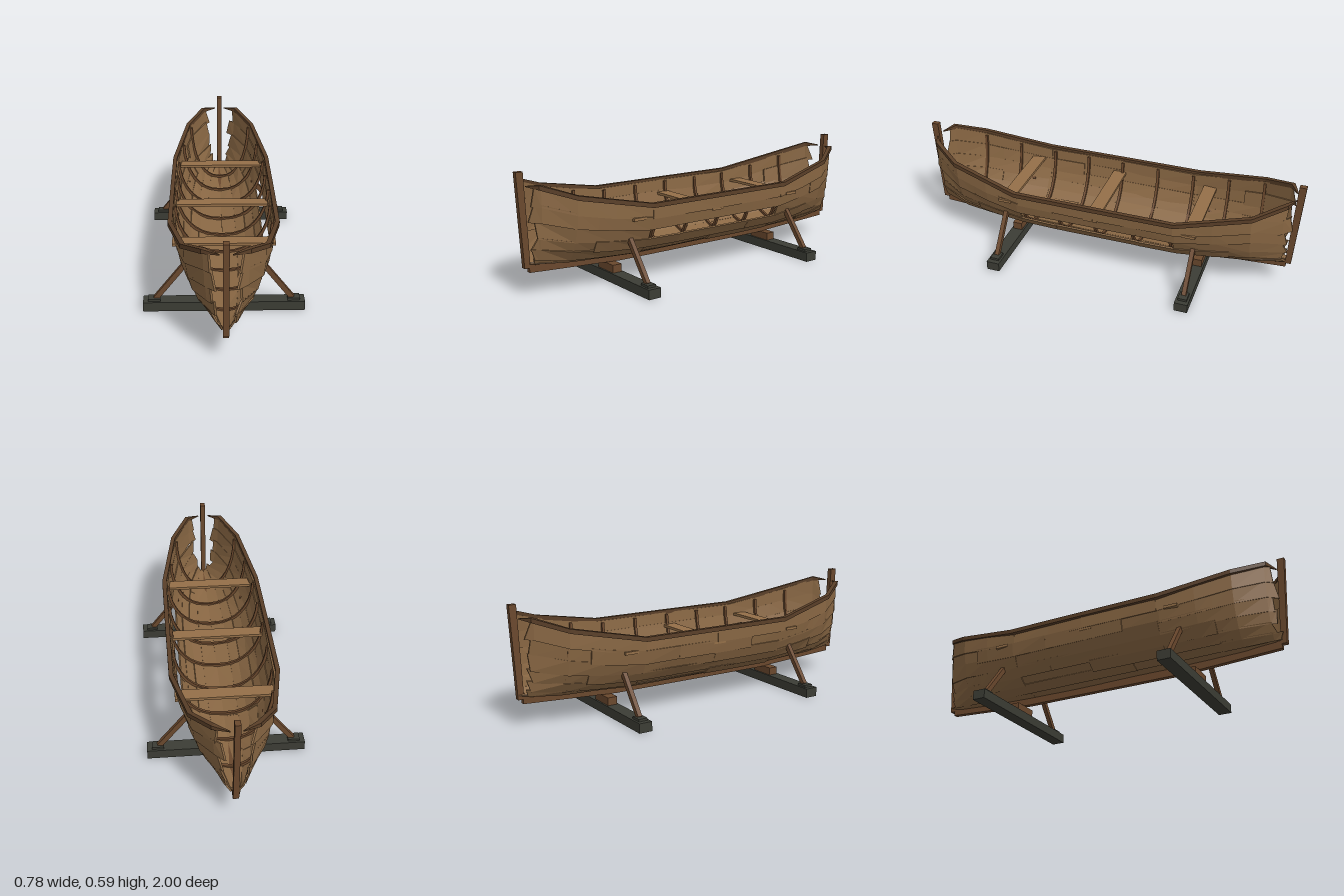
import * as THREE from 'three';

// Hull lines by distance from midship: half width, sheer height, bottom height
const LINES = [
  [0, 0.253, 0.405, 0.125], [0.42, 0.248, 0.405, 0.125], [0.6, 0.222, 0.435, 0.13],
  [0.78, 0.183, 0.475, 0.136], [0.92, 0.1, 0.527, 0.146], [0.97, 0.05, 0.53, 0.15],
];

function lines(z) {
  const a = Math.min(Math.abs(z), 0.969);
  const i = LINES.findIndex((r) => r[0] > a);
  const p = LINES[i - 1], q = LINES[i];
  const k = (a - p[0]) / (q[0] - p[0]);
  return [1, 2, 3].map((j) => p[j] + (q[j] - p[j]) * k);
}

// Point on the hull: t = 0 at the keel, 1 at the rail (negative t is the -x side)
function hullPoint(t, z, inset = 0) {
  const [w, s, b] = lines(z);
  const at = (u) => new THREE.Vector2(
    w * Math.pow(Math.sin(u * Math.PI / 2), 0.85), b + (s - b) * (1 - Math.cos(u * Math.PI / 2)));
  const u = Math.min(Math.abs(t), 1);
  const p = at(u);
  const d = at(Math.min(u + 0.02, 1)).sub(at(Math.max(u - 0.02, 0))).normalize();
  if (u === 0) d.set(1, 0);
  const x = Math.max(p.x - d.y * inset, 0);
  return new THREE.Vector3(t < 0 ? -x : x, p.y + d.x * inset, z);
}

// Flat-shaded solid lofted through rings of four corners
function loft(rings) {
  const tris = [];
  const quad = (a, b, c, d) => tris.push([a, b, c], [a, c, d]);
  for (let i = 0; i + 1 < rings.length; i++) {
    for (let j = 0; j < 4; j++) {
      const k = (j + 1) % 4;
      quad(rings[i][j], rings[i][k], rings[i + 1][k], rings[i + 1][j]);
    }
  }
  const e = rings[rings.length - 1];
  quad(...[...rings[0]].reverse());
  quad(...e);
  // Turn the faces outward whichever way the rings run
  const o = rings[0][0];
  let vol = 0;
  for (const [a, b, c] of tris) {
    vol += a.clone().sub(o).dot(b.clone().sub(o).cross(c.clone().sub(o)));
  }
  const pos = [];
  for (const [a, b, c] of tris) {
    for (const v of vol < 0 ? [a, c, b] : [a, b, c]) pos.push(v.x, v.y, v.z);
  }
  const g = new THREE.BufferGeometry();
  g.setAttribute('position', new THREE.Float32BufferAttribute(pos, 3));
  g.computeVertexNormals();
  return g;
}

export function createModel() {
  const boat = new THREE.Group();
  boat.name = 'rowingBoat';
  const plank = new THREE.MeshStandardMaterial({ color: 0x8a6844 });
  plank.name = 'plankWood';
  const timber = new THREE.MeshStandardMaterial({ color: 0x6a482d });
  timber.name = 'darkTimber';
  const rail = new THREE.MeshStandardMaterial({ color: 0x5a3f28 });
  rail.name = 'railWood';
  const bench = new THREE.MeshStandardMaterial({ color: 0x946f48 });
  bench.name = 'benchWood';
  const base = new THREE.MeshStandardMaterial({ color: 0x3c3d35 });
  base.name = 'cradleTimber';

  let seed = 7;
  const rand = (r) => {
    seed = (seed * 16807) % 2147483647;
    return (seed / 2147483647 * 2 - 1) * r;
  };
  const add = (name, geo, mat, parent = boat) => {
    const m = new THREE.Mesh(geo, mat);
    m.name = name;
    parent.add(m);
    return m;
  };
  const box = (name, size, at, mat) => {
    const m = add(name, new THREE.BoxGeometry(...size), mat);
    m.position.set(...at);
    return m;
  };

  // Planking: seven strakes a side, each of several uneven boards
  const STRAKES = 7;
  const hull = new THREE.Group();
  hull.name = 'planking';
  boat.add(hull);
  for (const side of [-1, 1]) {
    for (let i = 0; i < STRAKES; i++) {
      const inner = i % 2 ? [-0.68, -0.22, 0.22, 0.68] : [-0.41, 0, 0.41];
      const cuts = [-0.945 + rand(0.016), ...inner, 0.945 + rand(0.016)];
      for (let c = 0; c + 1 < cuts.length; c++) {
        const z0 = cuts[c], z1 = cuts[c + 1];
        // One strake is lost amidships on the left side
        if (side > 0 && i === 4 && Math.abs(z0 + z1) < 0.9) continue;
        const lift = -0.003 + rand(0.003);
        const zs = [z0];
        for (const z of [-0.92, -0.78, -0.6, -0.42, -0.2, 0.2, 0.42, 0.6, 0.78, 0.92]) {
          if (z > z0 + 0.02 && z < z1 - 0.02) zs.push(z);
        }
        zs.push(z1);
        const lost = side > 0 && (i === 3 || i === 5);
        const lo = Math.max(0, i / STRAKES - (lost && i === 5 ? 0 : 0.012));
        const hi = Math.min(1, (i + 1) / STRAKES + (lost && i === 3 ? 0 : 0.012));
        hull.add(new THREE.Mesh(loft(zs.map((z, n) => {
          const free = Math.abs(z) > 0.925 && (n === 0 || n === zs.length - 1);
          const skew = free ? rand(0.014) : 0;
          const a = lift + rand(0.002), b = lift + 0.003 + rand(0.002);
          return [
            hullPoint(side * lo, z - skew, a), hullPoint(side * hi, z + skew, b),
            hullPoint(side * hi, z + skew, b + 0.009), hullPoint(side * lo, z - skew, a + 0.009),
          ];
        })), plank));
        hull.children[hull.children.length - 1].name = 'board';
      }
    }
  }

  // Bent ribs, inside the planking
  for (const z of [-0.78, -0.59, -0.395, -0.2, 0, 0.195, 0.39, 0.585, 0.775]) {
    const rings = [];
    for (let k = -8; k <= 8; k++) {
      const t = k / 8 * 0.98;
      const out = hullPoint(t, z, 0.006), inn = hullPoint(t, z, 0.02);
      rings.push([[out, -1], [out, 1], [inn, 1], [inn, -1]].map(
        ([p, s]) => new THREE.Vector3(p.x, p.y, z + s * 0.007)));
    }
    add('rib', loft(rings), timber);
  }

  // Gunwales, tapering to points beside the posts
  const half = [[0.257, 0.408, 0], [0.256, 0.408, 0.42], [0.188, 0.479, 0.78],
    [0.098, 0.53, 0.925], [0.028, 0.529, 0.962]];
  const run = [...half.slice(1).reverse().map(([x, y, z]) => [x, y, -z]), ...half];
  for (const side of [-1, 1]) {
    const rings = run.map(([x, y, z], i) => {
      const a = run[Math.max(i - 1, 0)], b = run[Math.min(i + 1, run.length - 1)];
      const n = new THREE.Vector2(b[2] - a[2], a[0] - b[0]).normalize();
      const tip = i === 0 || i === run.length - 1;
      const w = tip ? 0.002 : 0.011, h = tip ? 0.002 : 0.011;
      return [[-1, -1], [1, -1], [1, 1], [-1, 1]].map(([u, v]) =>
        new THREE.Vector3(side * (x + n.x * w * u), y + h * v, z + n.y * w * u));
    });
    add('gunwale', loft(rings), rail);
  }

  // Keel, rising at both ends
  add('keel', loft([[-0.95, 0.115], [-0.45, 0.087], [0.45, 0.087], [0.95, 0.115]].map(([z, y]) =>
    [[-1, 0], [1, 0], [1, 1], [-1, 1]].map(([u, v]) =>
      new THREE.Vector3(u * 0.0125, y + v * 0.04, z)))), timber);

  // Raked end posts
  for (const e of [-1, 1]) {
    add(e > 0 ? 'stemPost' : 'sternPost', loft([[0.138, 0.945, 0.975], [0.594, 0.964, 1]].map(
      ([y, a, b]) => [[-1, a], [1, a], [1, b], [-1, b]].map(
        ([u, z]) => new THREE.Vector3(u * 0.0135, y, e * z)))), timber);
  }

  // Thwarts, just showing through the sides
  for (const [z, y, w] of [[-0.49, 0.347, 0.488], [0.016, 0.334, 0.492], [0.484, 0.347, 0.488]]) {
    box('thwart', [w, 0.014, 0.07], [0, y, z], bench);
  }

  // Cradle: ground beam, keel block, foot pads and leaning props
  for (const z of [-0.507, 0.507]) {
    box('groundBeam', [0.78, 0.048, 0.068], [0, 0.024, z], base);
    box('keelBlock', [0.136, 0.04, 0.05], [0, 0.068, z], timber);
    for (const s of [-1, 1]) {
      box('footPad', [0.058, 0.012, 0.046], [s * 0.336, 0.054, z], base);
      const prop = box('prop', [0.025, 0.235, 0.022], [s * 0.257, 0.149, z], timber);
      prop.rotation.z = s * Math.atan2(0.142, 0.182);
    }
  }
  return boat;
}
